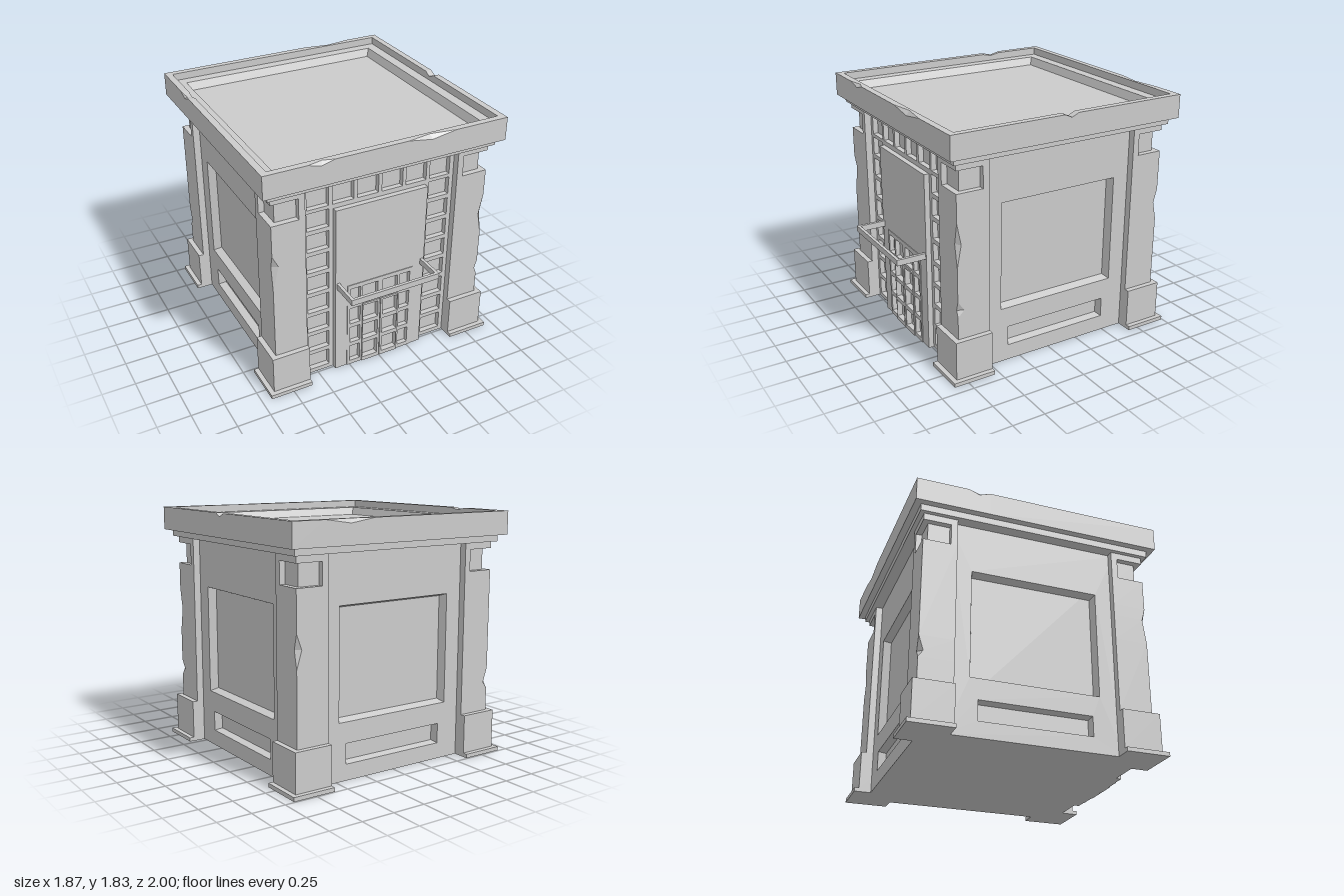
import * as THREE from 'three';

const mat = new THREE.MeshStandardMaterial({ color: 0xcccccc, flatShading: true });

function add(parent, name, geometry) {
  const mesh = new THREE.Mesh(geometry, mat);
  mesh.name = name;
  parent.add(mesh);
  return mesh;
}

// Box given by its two limits on each axis
function box(parent, name, x0, x1, y0, y1, z0, z1) {
  const g = new THREE.BoxGeometry(Math.abs(x1 - x0), y1 - y0, Math.abs(z1 - z0));
  g.translate((x0 + x1) / 2, (y0 + y1) / 2, (z0 + z1) / 2);
  return add(parent, name, g);
}

// Skin through closed rings of [x, y, z] points
function loft(rings) {
  const pos = [];
  for (let r = 0; r + 1 < rings.length; r++) {
    const a = rings[r], b = rings[r + 1], n = a.length;
    for (let i = 0; i < n; i++) {
      const j = (i + 1) % n;
      pos.push(...a[i], ...a[j], ...b[j], ...a[i], ...b[j], ...b[i]);
    }
  }
  const g = new THREE.BufferGeometry();
  g.setAttribute('position', new THREE.Float32BufferAttribute(pos, 3));
  g.computeVertexNormals();
  return g;
}

const rect = (x0, x1, y0, y1) => [[x0, y0], [x1, y0], [x1, y1], [x0, y1]].map(p => new THREE.Vector2(...p));

// Upright plate with rectangular openings, from z0 to z1
function plate(parent, name, outer, holes, z0, z1) {
  const shape = new THREE.Shape(rect(...outer));
  holes.forEach(h => shape.holes.push(new THREE.Path(rect(...h))));
  const g = new THREE.ExtrudeGeometry(shape, { depth: z1 - z0, bevelEnabled: false });
  g.translate(0, 0, z0);
  return add(parent, name, g);
}

const IN = 0.602, OUT = 0.853, TOP = 1.605;
const WALL = 0.8, BACK = 0.74; // wall face and bottom of the recesses

// Corner pillar; chips = [low, deepest, high, cut in x, cut in z] on its outer edge
function pillar(sx, sz, chips) {
  const g = new THREE.Group();
  g.name = 'cornerPillar';
  const ring = (pts, y) => {
    const r = pts.map(([x, z]) => [x * sx, y, z * sz]);
    return sx * sz > 0 ? r : r.reverse();
  };
  const b = (name, out, y0, y1) => box(g, name, IN * sx, out * sx, y0, y1, IN * sz, out * sz);
  b('plinth', 0.927, 0, 0.03);
  b('foot', 0.892, 0.03, 0.32);
  b('pillarTop', OUT, 1.555, TOP);

  const section = (cx, cz) => [[IN, OUT], [OUT - cx, OUT], [OUT, OUT - cz], [OUT, IN], [IN, IN]];
  const levels = [[0.32, 0, 0]];
  chips.forEach(([lo, mid, hi, cx, cz]) => levels.push([lo, 0, 0], [mid, cx, cz], [hi, 0, 0]));
  levels.push([1.395, 0, 0]);
  const rings = levels.map(([y, cx, cz]) => ring(section(cx, cz), y));
  rings.push(ring(Array(5).fill([0.7, 0.7]), 1.395));
  add(g, 'shaft', loft(rings));

  // Neck with its outer corner set back
  const n0 = 0.65, n1 = 0.81;
  const neck = [[IN, OUT], [n0, OUT], [n0, n1], [n1, n1], [n1, n0], [OUT, n0], [OUT, IN], [IN, IN]];
  add(g, 'neck', loft([ring(neck, 1.395), ring(neck, 1.555)]));
  return g;
}

// Wall with two framed, tapered recesses, facing +z before it is turned
function panelWall(angle) {
  const g = new THREE.Group();
  g.name = 'panelWall';
  const panels = [[0.477, 0.425, 1.24, 0.02], [0.418, 0.12, 0.27, 0.011]];
  plate(g, 'wallFace', [-0.65, 0.65, 0, TOP], panels.map(([w, lo, hi]) => [-w, w, lo, hi]), BACK, WALL);
  for (const [w, lo, hi, t] of panels) {
    const ring = (i, z) => rect(-w + i, w - i, lo + i, hi - i).map(p => [p.x, p.y, z]);
    add(g, 'recessFrame', loft([ring(0, WALL), ring(t, BACK)]));
  }
  g.rotation.y = angle;
  return g;
}

// Front with window grid, raised centre panel, doors and canopy rail
function facade() {
  const g = new THREE.Group();
  g.name = 'facade';
  const rowY = i => [0.033 + i * 0.173, 0.172 + i * 0.173];
  const panes = [];
  for (let i = 0; i < 8; i++) {
    panes.push([-0.57, -0.4, ...rowY(i)], [0.4, 0.57, ...rowY(i)]);
  }
  for (let i = 0; i < 6; i++) {
    const c = (i - 2.5) * 0.194;
    panes.push([c - 0.083, c + 0.083, 1.41, 1.57]);
  }
  box(g, 'windowBack', -0.65, 0.65, 0, TOP, 0.6, 0.76);
  plate(g, 'windowGrid', [-0.65, 0.65, 0, TOP], panes, 0.76, WALL);

  // Centre panel with the door grid set into it
  const D = 0.272, doorTop = 0.725;
  box(g, 'centrePanel', -0.367, 0.367, doorTop, 1.375, 0.77, 0.84);
  const doorPanes = [];
  for (let i = 0; i < 4; i++) {
    for (const [a, b] of [[-0.25, -0.165], [-0.145, -0.02], [0.02, 0.145], [0.165, 0.25]]) {
      doorPanes.push([a, b, ...rowY(i)]);
    }
  }
  box(g, 'doorBack', -D, D, 0, doorTop, 0.77, 0.81);
  plate(g, 'doorSurround', [-D, D, 0, doorTop], doorPanes, 0.81, 0.845);
  for (const s of [-1, 1]) {
    const span = (a, b) => [Math.min(s * a, s * b), Math.max(s * a, s * b)];
    box(g, 'doorJamb', s * D, s * 0.367, 0, doorTop, 0.77, 0.84);
    const holes = [0, 1, 2].map(i => [...span(0.02, 0.145), ...rowY(i)]);
    plate(g, 'doorLeaf', [...span(0.003, 0.15), 0, 0.535], holes, 0.845, 0.853);
    box(g, 'canopyArm', s * 0.335, s * 0.358, 0.727, 0.773, 0.78, 1.065);
  }
  box(g, 'canopyRail', -0.335, 0.335, 0.727, 0.773, 1.042, 1.065);
  return g;
}

// Roof slab with sunken top; chips = [position, half width, edge cut, rim drop] per side
function roof() {
  const g = new THREE.Group();
  g.name = 'roof';
  const R = 0.935;
  const sides = [
    [[-0.52, 0.1, 0.025, 0], [0.32, 0.19, 0.03, 0]],
    [[-0.01, 0.055, 0, 0.025]],
    [[-0.48, 0.2, 0.03, 0]],
    [[-0.47, 0.08, 0.015, 0.015]],
  ];
  const stations = [];
  sides.forEach((chips, k) => {
    stations.push([k, -1, 0, 0]);
    chips.forEach(([u, w, d, n]) => {
      stations.push([k, (u - w) / R, 0, 0], [k, u / R, d, n], [k, (u + w) / R, 0, 0]);
    });
  });
  const profile = [
    () => [0.8, 1.655], () => [R, 1.655], (d, n) => [R, 1.83 - d - n], (d, n) => [R - d, 1.83 - n],
    (d, n) => [0.885, 1.83 - n], () => [0.885, 1.775], () => [0.805, 1.775], () => [0.78, 1.715],
  ];
  add(g, 'roofRim', loft(profile.map(f => stations.map(([k, t, d, n]) => {
    const [r, y] = f(d, n);
    const c = Math.round(Math.cos(k * Math.PI / 2)), s = Math.round(Math.sin(k * Math.PI / 2));
    return [r * (t * c + s), y, r * (c - t * s)];
  }))));
  box(g, 'roofFloor', -0.78, 0.78, 1.65, 1.715, -0.78, 0.78);
  box(g, 'cornice', -0.885, 0.885, TOP, 1.655, -0.885, 0.885);
  return g;
}

export function createModel() {
  const model = new THREE.Group();
  model.name = 'building';
  const body = new THREE.Group();
  body.name = 'body';
  body.position.z = -0.065;
  model.add(body);

  box(body, 'core', -BACK, BACK, 0, TOP, -BACK, BACK);
  body.add(facade(), roof());
  for (const k of [1, 2, 3]) body.add(panelWall(k * Math.PI / 2));

  body.add(
    pillar(1, 1, [[0.49, 0.54, 0.61, 0.02, 0.05], [0.86, 1.03, 1.19, 0.032, 0.032]]),
    pillar(-1, 1, [[0.88, 1.07, 1.16, 0.045, 0.025]]),
    pillar(1, -1, [[0.86, 0.99, 1.1, 0.04, 0.028]]),
    pillar(-1, -1, [[0.49, 0.54, 0.65, 0.035, 0.035]]),
  );
  return model;
}
